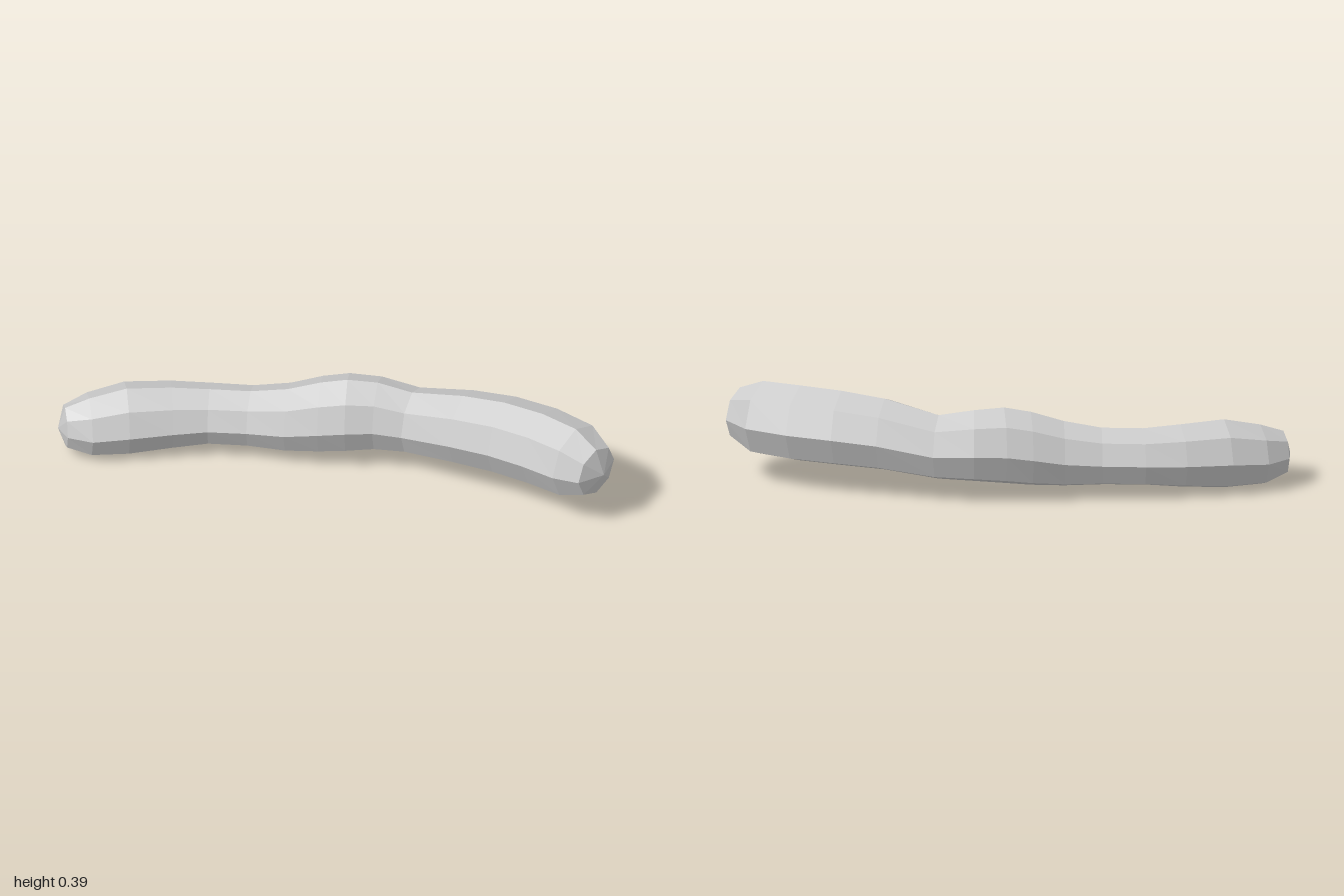
import * as THREE from 'three';

// Spine stations from tip to tip: x, z, width, bottom y, top y
const STATIONS = [
  [-0.97, 0.413, 0, 0.11, 0.11],
  [-0.95, 0.395, 0.15, 0.03, 0.2],
  [-0.88, 0.337, 0.24, 0, 0.235],
  [-0.77, 0.25, 0.276, 0, 0.27],
  [-0.635, 0.15, 0.262, 0.018, 0.265],
  [-0.515, 0.075, 0.24, 0.035, 0.258],
  [-0.375, 0.01, 0.234, 0.038, 0.263],
  [-0.245, -0.045, 0.258, 0.034, 0.29],
  [-0.135, -0.1, 0.28, 0.04, 0.33],
  [-0.045, -0.145, 0.285, 0.05, 0.35],
  [0.055, -0.198, 0.268, 0.062, 0.343],
  [0.18, -0.24, 0.244, 0.068, 0.32],
  [0.385, -0.27, 0.28, 0.086, 0.367],
  [0.55, -0.297, 0.295, 0.09, 0.385],
  [0.71, -0.31, 0.3, 0.09, 0.388],
  [0.862, -0.303, 0.285, 0.092, 0.382],
  [0.963, -0.285, 0.2, 0.138, 0.336],
  [1, -0.28, 0, 0.237, 0.237],
];
const SIDES = 8;

// Octagonal ring standing across the spine at station i
function ring(i) {
  const [x, z, width, bottom, top] = STATIONS[i];
  const prev = STATIONS[Math.max(i - 1, 0)];
  const next = STATIONS[Math.min(i + 1, STATIONS.length - 1)];
  const across = new THREE.Vector2(prev[1] - next[1], next[0] - prev[0]).normalize();
  return Array.from({ length: SIDES }, (_, k) => {
    const a = (k / SIDES) * Math.PI * 2;
    const s = Math.cos(a) * width / 2;
    const y = (bottom + top) / 2 + Math.sin(a) * (top - bottom) / 2;
    return [x + across.x * s, y, z + across.y * s];
  });
}

export function createModel() {
  const group = new THREE.Group();
  group.name = 'bentStick';

  // Skin between neighbouring rings; the tips close as fans
  const rings = STATIONS.map((_, i) => ring(i));
  const last = rings.length - 2;
  const points = [];
  for (let i = 0; i <= last; i++) {
    for (let k = 0; k < SIDES; k++) {
      const n = (k + 1) % SIDES;
      const a = rings[i][k], b = rings[i][n], c = rings[i + 1][k], d = rings[i + 1][n];
      if (i > 0) points.push(...a, ...c, ...b);
      if (i < last) points.push(...b, ...c, ...d);
    }
  }
  const geometry = new THREE.BufferGeometry();
  geometry.setAttribute('position', new THREE.Float32BufferAttribute(points, 3));
  geometry.computeVertexNormals();

  const body = new THREE.Mesh(
    geometry,
    new THREE.MeshStandardMaterial({ color: 0xcccccc, flatShading: true })
  );
  body.name = 'body';
  group.add(body);
  return group;
}
